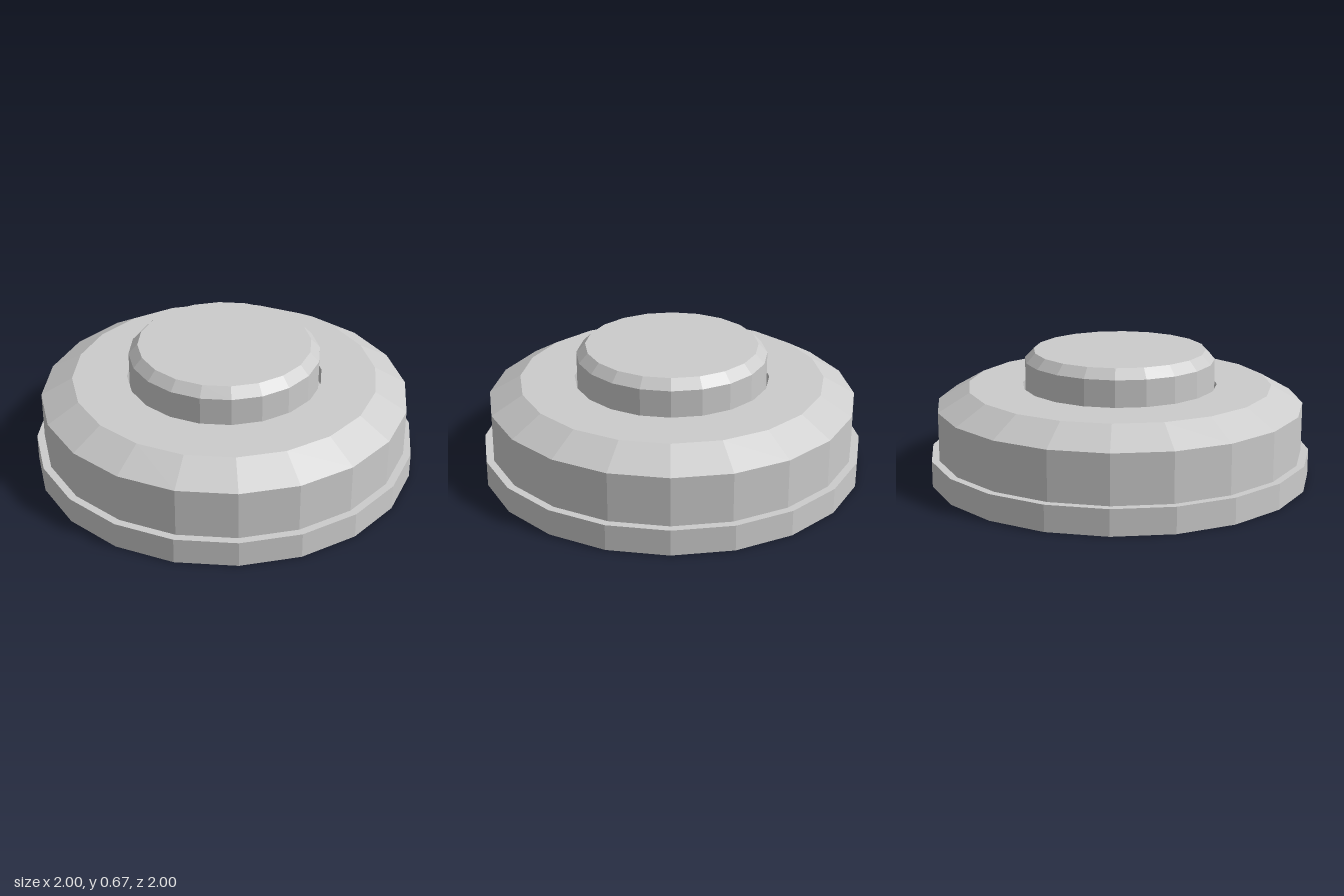
import * as THREE from 'three';

const SIDES = 20;

// Faceted solid of revolution from a [radius, height] profile, bottom to top
function turned(name, profile, material) {
  const points = profile.map(([r, y]) => new THREE.Vector2(r, y));
  const mesh = new THREE.Mesh(new THREE.LatheGeometry(points, SIDES), material);
  mesh.name = name;
  return mesh;
}

export function createModel() {
  const group = new THREE.Group();
  group.name = 'pushButton';
  const material = new THREE.MeshStandardMaterial({ color: 0xcccccc, flatShading: true });

  // Housing: base flange, drum wall, sloped shoulder and a well for the plunger
  group.add(turned('housing', [
    [0, 0], [1, 0], [1, 0.135],
    [0.96, 0.135], [0.96, 0.39],
    [0.795, 0.485], [0.51, 0.485],
    [0.51, 0.39], [0, 0.39],
  ], material));

  // Plunger: bevelled button standing in the well with a thin gap around it
  group.add(turned('plunger', [
    [0.497, 0.39], [0.497, 0.62], [0.45, 0.67], [0, 0.67],
  ], material));

  return group;
}
